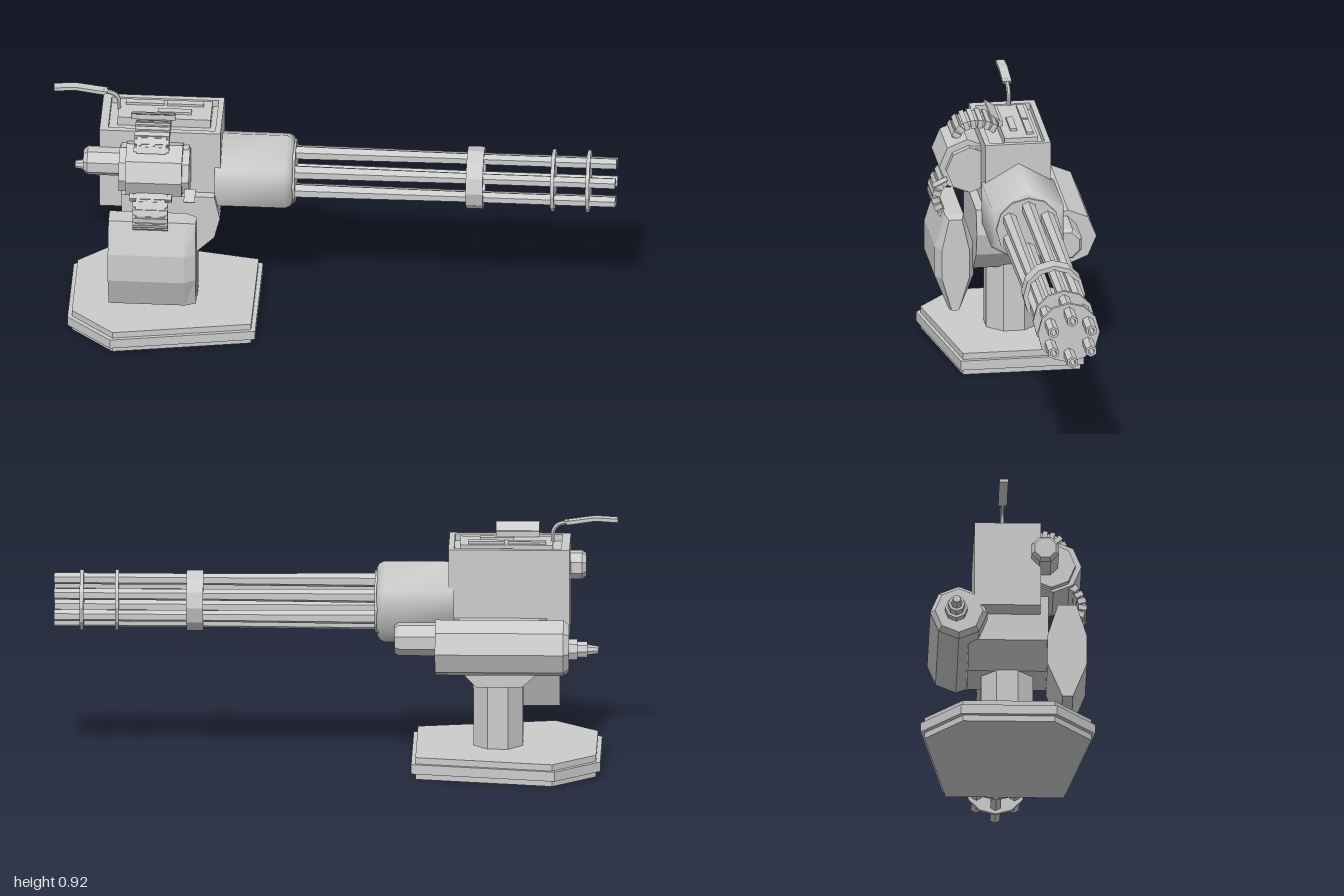
import * as THREE from 'three';
import { toCreasedNormals } from 'three/addons/utils/BufferGeometryUtils.js';

const flat = new THREE.MeshStandardMaterial({ color: 0xcccccc, flatShading: true, side: THREE.DoubleSide });
const smooth = new THREE.MeshStandardMaterial({ color: 0xcccccc, side: THREE.DoubleSide });

export function createModel() {
  const root = new THREE.Group();

  const add = (name, geo, x = 0, y = 0, z = 0, mat = flat) => {
    const m = new THREE.Mesh(geo, mat);
    m.name = name;
    m.position.set(x, y, z);
    root.add(m);
    return m;
  };
  // Box given by its min and max corners
  const box = (name, x0, x1, y0, y1, z0, z1) =>
    add(name, new THREE.BoxGeometry(x1 - x0, y1 - y0, z1 - z0), (x0 + x1) / 2, (y0 + y1) / 2, (z0 + z1) / 2);
  // Turned part along x: profile is [x, radius] pairs
  const turned = (name, profile, y, z, sides, phase = 0, mat = flat) => {
    let g = new THREE.LatheGeometry(profile.map(([x, r]) => new THREE.Vector2(r, x)), sides, phase);
    g.rotateZ(-Math.PI / 2);
    if (mat === smooth) g = toCreasedNormals(g, 1.1);
    return add(name, g, 0, y, z, mat);
  };
  const shape = (pts) => new THREE.Shape(pts.map(([a, b]) => new THREE.Vector2(a, b)));

  // Base: three stacked hexagonal plates
  const outline = [[-0.94, -0.17], [-0.78, -0.31], [-0.27, -0.22], [-0.27, 0.22], [-0.78, 0.31], [-0.94, 0.17]];
  [[0, 0.022, 0.955], [0.022, 0.057, 1], [0.057, 0.08, 0.955]].forEach(([y0, y1, s]) => {
    const g = new THREE.ExtrudeGeometry(
      shape(outline.map(([x, z]) => [-0.605 + (x + 0.605) * s, z * s])), { depth: y1 - y0, bevelEnabled: false });
    g.rotateX(-Math.PI / 2);
    add('basePlate', g, 0, y0, 0);
  });

  // Post and cradle
  const post = add('post', new THREE.CylinderGeometry(0.1, 0.1, 0.3, 8, 1, false, Math.PI / 8), -0.575, 0.22, 0);
  post.scale.x = 0.95;
  add('cradle', new THREE.ExtrudeGeometry(
    shape([[-0.75, 0.57], [-0.75, 0.4], [-0.66, 0.32], [-0.5, 0.32], [-0.42, 0.4], [-0.4, 0.48], [-0.42, 0.57]]),
    { depth: 0.285, bevelEnabled: false }), 0, 0, -0.14);

  // Receiver with a raised rim around a recessed top
  box('receiver', -0.83, -0.4, 0.5, 0.795, -0.12, 0.115);
  box('rimFront', -0.42, -0.4, 0.795, 0.82, -0.12, 0.115);
  box('rimBack', -0.83, -0.8, 0.795, 0.82, -0.12, 0.115);
  box('rimLeft', -0.8, -0.42, 0.795, 0.82, 0.095, 0.115);
  box('rimRight', -0.8, -0.42, 0.795, 0.82, -0.12, -0.1);
  box('topCover', -0.77, -0.44, 0.79, 0.828, -0.08, 0.04);
  [[-0.745, -0.61, -0.055], [-0.6, -0.47, -0.055], [-0.63, -0.51, -0.002]].forEach(([x0, x1, z]) =>
    box('coverRib', x0, x1, 0.825, 0.837, z - 0.012, z + 0.012));

  // Charging lever
  const stem = new THREE.CatmullRomCurve3([[-0.77, 0.825], [-0.77, 0.865], [-0.785, 0.887], [-0.83, 0.9]]
    .map(([x, y]) => new THREE.Vector3(x, y, -0.02)));
  add('leverStem', new THREE.TubeGeometry(stem, 10, 0.008, 6));
  add('leverGrip', new THREE.ExtrudeGeometry(
    shape([[-1, 0.9], [-0.92, 0.905], [-0.82, 0.89], [-0.81, 0.903], [-0.92, 0.918], [-1, 0.913]]),
    { depth: 0.032, bevelEnabled: false }), 0, 0, -0.036);

  // Barrel housing
  const cy = 0.597, cz = -0.004;
  turned('barrelHousing', [[-0.42, 0], [-0.42, 0.149], [-0.17, 0.149], [-0.152, 0.14], [-0.145, 0.125], [-0.145, 0]],
    cy, cz, 6, Math.PI / 6, smooth);
  turned('rotorFace', [[-0.16, 0.115], [-0.138, 0.115], [-0.138, 0]], cy, cz, 12);

  // Six hollow barrels
  for (let i = 0; i < 6; i++) {
    const a = (i + 0.5) * Math.PI / 3 - Math.PI / 6 + Math.PI / 2;
    turned('barrel', [[-0.15, 0.026], [0.47, 0.021], [1, 0.021], [1, 0.012], [0.92, 0.012], [0.92, 0]],
      cy + 0.078 * Math.sin(a), cz + 0.078 * Math.cos(a), 6, Math.PI / 6);
  }
  // Clamp ring and spacer discs
  turned('barrelClamp', [[0.47, 0.094], [0.47, 0.111], [0.53, 0.111], [0.53, 0.094], [0.47, 0.094]], cy, cz, 12);
  [0.77, 0.895].forEach((x) =>
    turned('spacerDisc', [[x, 0], [x, 0.111], [x + 0.013, 0.111], [x + 0.013, 0]], cy, cz, 12));

  // Ammunition box: tapered section with a narrowed front end
  const section = [[0.243, 0.52], [0.28, 0.4], [0.28, 0.29], [0.23, 0.163], [0.193, 0.163], [0.14, 0.29], [0.14, 0.4], [0.177, 0.52]];
  const boxGeo = new THREE.ExtrudeGeometry(shape(section.map(([z, y]) => [-z, y])), { depth: 0.31, steps: 8, bevelEnabled: false });
  const p = boxGeo.attributes.position;
  for (let i = 0; i < p.count; i++) {
    if (p.getZ(i) < 0.3) continue;
    p.setX(i, -0.21 + (p.getX(i) + 0.21) * 0.7);
    p.setY(i, 0.34 + (p.getY(i) - 0.34) * 0.96);
  }
  boxGeo.rotateY(Math.PI / 2);
  add('ammoBox', boxGeo, -0.79);

  // Feeder drum, its flanges, motor and thin levers
  turned('feederDrum', [[-0.73, 0], [-0.73, 0.1], [-0.53, 0.1], [-0.53, 0]], 0.697, 0.162, 8);
  [-0.755, -0.53].forEach((x) =>
    turned('feederFlange', [[x, 0], [x, 0.085], [x + 0.025, 0.085], [x + 0.025, 0]], 0.69, 0.155, 8));
  box('feederMount', -0.75, -0.51, 0.62, 0.77, 0.1, 0.16);
  turned('feederMotor', [[-0.885, 0], [-0.885, 0.04], [-0.87, 0.052], [-0.74, 0.052], [-0.74, 0]], 0.7, 0.13, 8, Math.PI / 8);
  const lever = box('feederLever', -0.52, -0.48, 0.649, 0.653, 0.235, 0.29);
  lever.rotation.x = 0.45;
  const flap = box('feedFlap', -0.72, -0.565, 0.856, 0.861, 0.035, 0.08);
  flap.rotation.x = -0.65;
  box('flapHinge', -0.72, -0.565, 0.825, 0.848, 0.03, 0.045);

  // Feed belts: a chain of links following a curve in the z-y plane
  const belt = (name, pts, count) => {
    const curve = new THREE.CatmullRomCurve3(pts.map(([z, y]) => new THREE.Vector3(-0.64, y, z)));
    const step = curve.getLength() / count;
    for (let i = 0; i < count; i++) {
      const u = (i + 0.5) / count, c = curve.getPointAt(u), t = curve.getTangentAt(u);
      const angle = -Math.atan2(t.y, t.z);
      const web = add(name + 'Web', new THREE.BoxGeometry(0.105, 0.02, step * 1.15), c.x, c.y, c.z);
      const link = add(name + 'Link', new THREE.BoxGeometry(0.125, 0.03, step * 0.72), c.x, c.y, c.z);
      web.rotation.x = link.rotation.x = angle;
    }
  };
  belt('upperBelt', [[0.2, 0.785], [0.175, 0.82], [0.13, 0.834], [0.085, 0.828], [0.05, 0.81]], 7);
  belt('lowerBelt', [[0.23, 0.635], [0.255, 0.6], [0.267, 0.555], [0.255, 0.52], [0.235, 0.495]], 6);
  const chute = box('lowerChute', -0.715, -0.565, 0.612, 0.637, 0.215, 0.25);
  chute.rotation.x = 0.6;

  // Drive motor on the right side with its rear tip and front gearbox
  turned('driveMotor', [[-0.83, 0], [-0.83, 0.085], [-0.81, 0.102], [-0.355, 0.102], [-0.355, 0]], 0.476, -0.175, 8);
  turned('motorTip', [[-0.935, 0], [-0.935, 0.014], [-0.895, 0.02], [-0.895, 0.03], [-0.86, 0.03], [-0.86, 0.04], [-0.82, 0.04]],
    0.473, -0.185, 8);
  turned('gearbox', [[-0.36, 0.06], [-0.225, 0.06], [-0.21, 0.05], [-0.21, 0]], 0.5, -0.15, 8, Math.PI / 8);
  box('motorBracket', -0.72, -0.44, 0.5, 0.57, -0.17, -0.1);

  return root;
}
